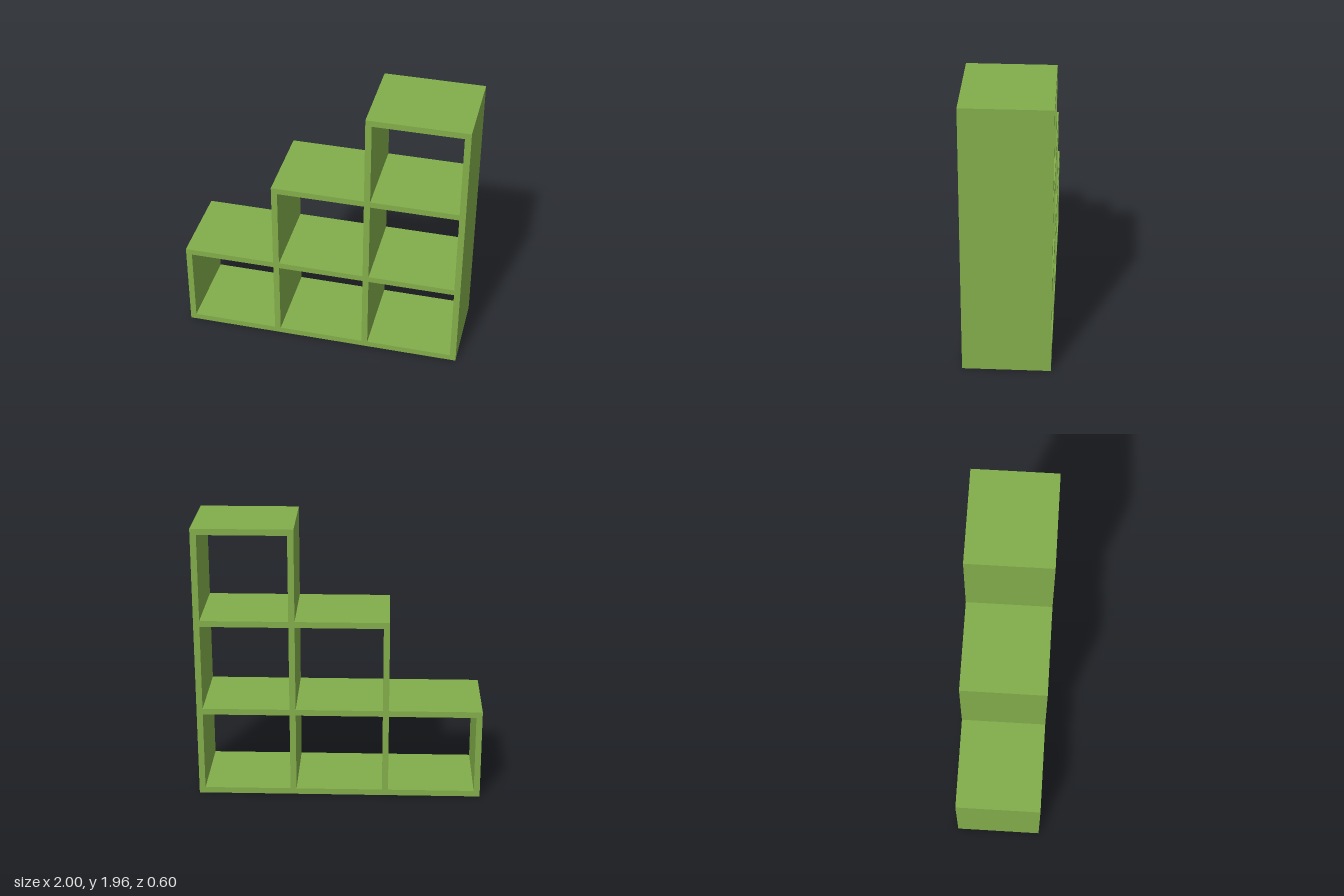
import * as THREE from 'three';

const CELLS = 3;        // columns, and cells in the tallest column
const T = 0.043;        // board thickness
const DEPTH = 0.604;
const PITCH = (2 - T) / CELLS; // spacing of the uprights
const ROW = 1.955 / CELLS;     // height of one row

export function createModel() {
  const group = new THREE.Group();
  group.name = 'steppedShelf';
  const material = new THREE.MeshStandardMaterial({ color: 0x82ad4a });

  const board = (name, w, h, x, y) => {
    const mesh = new THREE.Mesh(new THREE.BoxGeometry(w, h, DEPTH), material);
    mesh.name = name;
    mesh.position.set(x, y, 0);
    group.add(mesh);
  };

  // Uprights, stepping up by one row towards +x
  for (let i = 0; i <= CELLS; i++) {
    const h = ROW * Math.min(i + 1, CELLS);
    board('upright', T, h, -1 + T / 2 + i * PITCH, h / 2);
  }

  // Bottom boards, shelves and tops fitted between the uprights
  for (let col = 0; col < CELLS; col++) {
    const x = -1 + T / 2 + (col + 0.5) * PITCH;
    for (let row = 0; row <= col + 1; row++) {
      const name = row === 0 ? 'bottomBoard' : row === col + 1 ? 'topBoard' : 'shelf';
      board(name, PITCH - T, T, x, row === 0 ? T / 2 : row * ROW - T / 2);
    }
  }
  return group;
}
